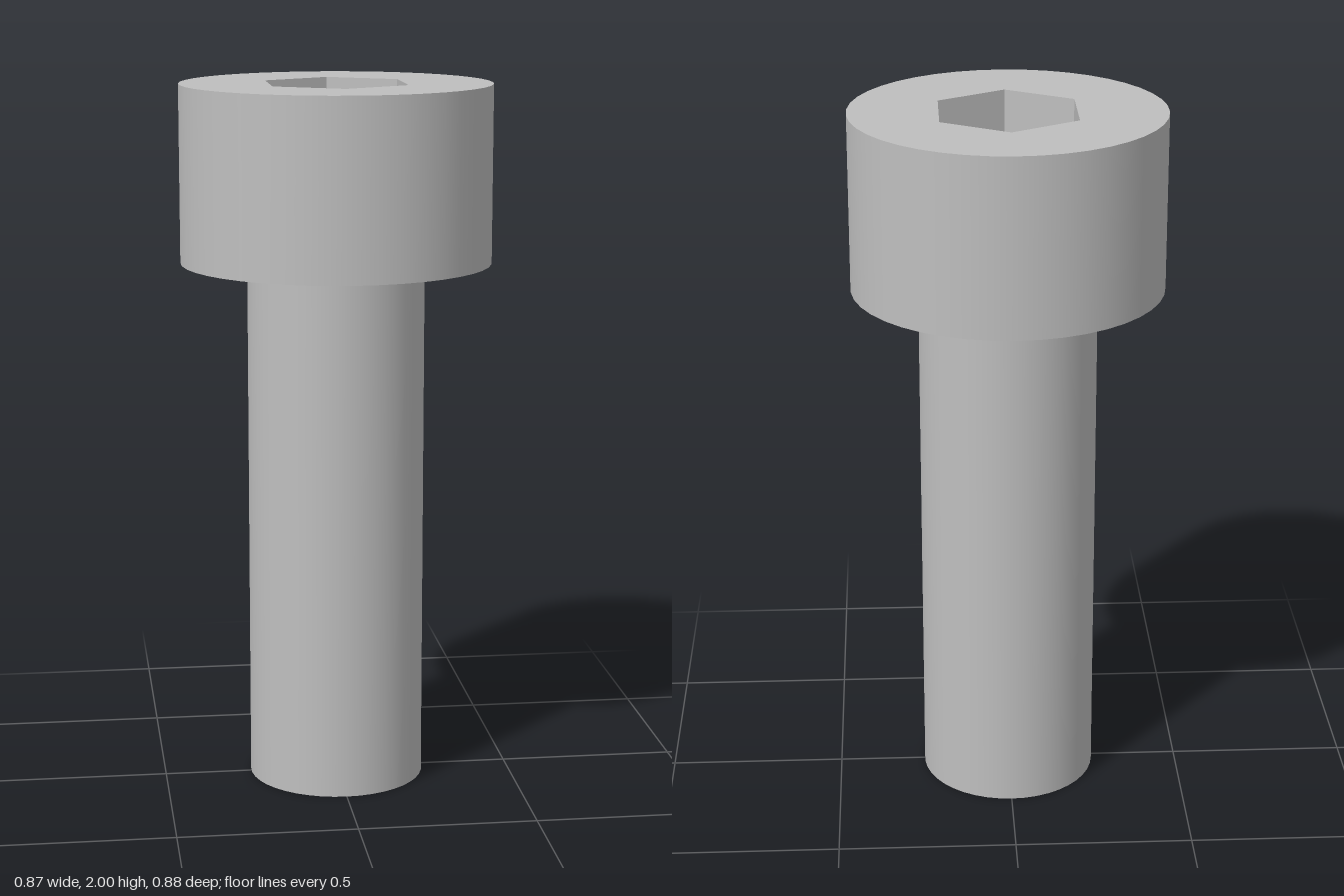
import * as THREE from 'three';

const SIDES = 42;
const HEAD_R = 0.4375, HEAD_BOTTOM = 1.5, TOP = 2;
const SHANK_R = 0.25;
const HEX_R = 0.2165, SOCKET_DEPTH = 0.25;

// Regular polygon with its first corner on the y axis
function polygon(radius, sides) {
  return Array.from({ length: sides }, (_, i) => {
    const a = (i / sides) * Math.PI * 2;
    return new THREE.Vector2(Math.sin(a) * radius, -Math.cos(a) * radius);
  });
}

export function createModel() {
  const group = new THREE.Group();
  group.name = 'socketHeadScrew';
  const steel = new THREE.MeshStandardMaterial({ color: 0xbfbfbf });
  steel.name = 'steel grey';

  const add = (name, geometry, y) => {
    const mesh = new THREE.Mesh(geometry, steel);
    mesh.name = name;
    mesh.position.y = y;
    group.add(mesh);
  };

  // Plain shank, closed at both ends
  add('shank', new THREE.CylinderGeometry(SHANK_R, SHANK_R, HEAD_BOTTOM, SIDES), HEAD_BOTTOM / 2);

  // Head wall and the bearing face under it
  const headHeight = TOP - HEAD_BOTTOM;
  add('headWall', new THREE.CylinderGeometry(HEAD_R, HEAD_R, headHeight, SIDES, 1, true), HEAD_BOTTOM + headHeight / 2);
  const under = new THREE.RingGeometry(SHANK_R, HEAD_R, SIDES, 1, Math.PI / 2);
  add('headUnderside', under.rotateX(Math.PI / 2), HEAD_BOTTOM);

  // Top face with the hexagonal opening
  const face = new THREE.Shape(polygon(HEAD_R, SIDES));
  face.holes.push(new THREE.Path(polygon(HEX_R, 6)));
  add('headTop', new THREE.ShapeGeometry(face).rotateX(-Math.PI / 2), TOP);

  // Socket walls, turned to face inwards
  let walls = new THREE.CylinderGeometry(HEX_R, HEX_R, SOCKET_DEPTH, 6, 1, true);
  walls.setIndex(Array.from(walls.index.array).reverse());
  walls = walls.toNonIndexed();
  walls.computeVertexNormals();
  add('socketWalls', walls, TOP - SOCKET_DEPTH / 2);

  // Socket floor
  const floor = new THREE.ShapeGeometry(new THREE.Shape(polygon(HEX_R, 6)));
  add('socketFloor', floor.rotateX(-Math.PI / 2), TOP - SOCKET_DEPTH);

  return group;
}
